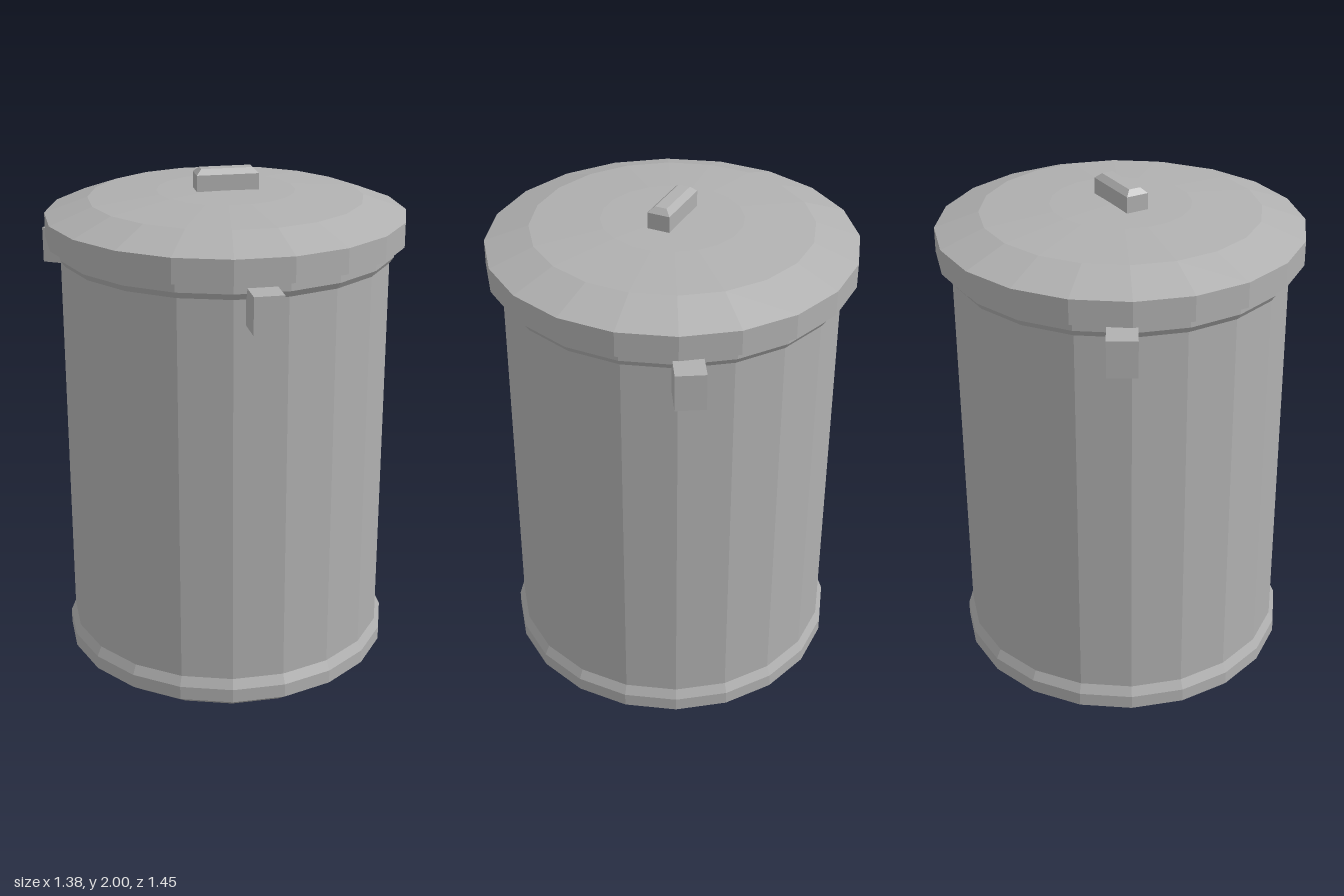
import * as THREE from 'three';

const SIDES = 20;
const AXIS_Z = -0.035; // the can's axis sits slightly behind the centre

export function createModel() {
  const group = new THREE.Group();
  const metal = new THREE.MeshStandardMaterial({ color: 0xb0b0b0, flatShading: true });
  metal.name = 'galvanised grey';

  const add = (name, geometry) => {
    const mesh = new THREE.Mesh(geometry, metal);
    mesh.name = name;
    mesh.position.z = AXIS_Z;
    group.add(mesh);
    return mesh;
  };

  // Faceted solid of revolution; profile gives [distance to flat side, height]
  const turned = (profile) => new THREE.LatheGeometry(
    profile.map(([r, y]) => new THREE.Vector2(r / Math.cos(Math.PI / SIDES), y)),
    SIDES, Math.PI / SIDES);

  // Can with flared foot and top bead
  add('body', turned([
    [0, 0], [0.592, 0], [0.652, 0.045], [0.652, 0.1], [0.633, 0.138],
    [0.633, 1.67], [0.65, 1.695], [0.65, 1.74],
  ]));

  // Shallow domed lid with a straight skirt
  add('lid', turned([
    [0, 1.735], [0.688, 1.735], [0.688, 1.83], [0.523, 1.89], [0.263, 1.915], [0, 1.92],
  ]));

  // Lid handle: block with a chamfered top
  const handle = new THREE.Group();
  handle.name = 'handle';
  handle.position.z = AXIS_Z;
  const grip = new THREE.Mesh(new THREE.BoxGeometry(0.24, 0.075, 0.088), metal);
  grip.name = 'handleBlock';
  grip.position.y = 1.9425;
  const capGeometry = new THREE.BoxGeometry(0.24, 0.02, 0.088);
  const p = capGeometry.attributes.position;
  for (let i = 0; i < p.count; i++) {
    if (p.getY(i) > 0) p.setXYZ(i, p.getX(i) * 0.83, p.getY(i), p.getZ(i) * 0.52);
  }
  capGeometry.computeVertexNormals();
  const cap = new THREE.Mesh(capGeometry, metal);
  cap.name = 'handleChamfer';
  cap.position.y = 1.99;
  handle.add(grip, cap);
  group.add(handle);

  // Three lugs spaced evenly around the rim
  for (let i = 0; i < 3; i++) {
    const angle = (i * Math.PI * 2) / 3;
    const lug = add('lug' + (i + 1), new THREE.BoxGeometry(0.11, 0.14, 0.15));
    lug.position.set(Math.sin(angle) * 0.682, 1.645, AXIS_Z + Math.cos(angle) * 0.682);
    lug.rotation.y = angle;
  }

  return group;
}
